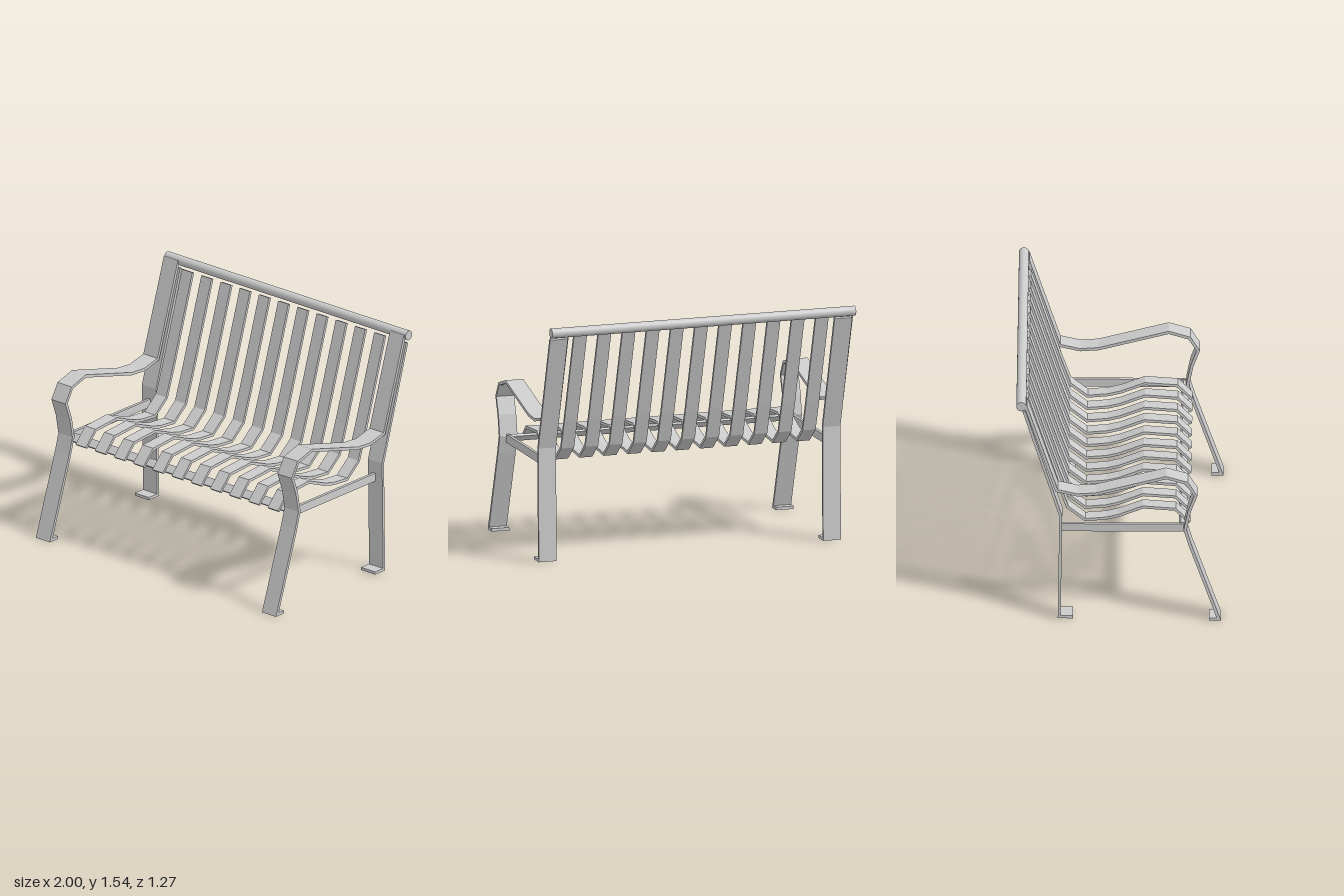
import * as THREE from 'three';

const material = new THREE.MeshStandardMaterial({ color: 0xcccccc, side: THREE.DoubleSide });

// Bent flat bar: mitred strip along a [z, y] path, extruded across x
function strapGeometry(path, thickness, width) {
  const pts = path.map(([z, y]) => new THREE.Vector2(z, y));
  const upper = [], lower = [];
  pts.forEach((p, i) => {
    const a = pts[Math.max(i - 1, 0)], b = pts[Math.min(i + 1, pts.length - 1)];
    let d1 = p.clone().sub(a), d2 = b.clone().sub(p);
    if (i === 0) d1 = d2.clone();
    if (i === pts.length - 1) d2 = d1.clone();
    d1.normalize();
    d2.normalize();
    const n1 = new THREE.Vector2(-d1.y, d1.x), n2 = new THREE.Vector2(-d2.y, d2.x);
    const miter = n1.clone().add(n2).normalize();
    miter.multiplyScalar(thickness / 2 / miter.dot(n1));
    upper.push(p.clone().add(miter));
    lower.unshift(p.clone().sub(miter));
  });
  const geometry = new THREE.ExtrudeGeometry(new THREE.Shape([...upper, ...lower]), {
    depth: width, bevelEnabled: false,
  });
  return geometry.translate(0, 0, -width / 2).rotateY(-Math.PI / 2);
}

export function createModel() {
  const bench = new THREE.Group();
  bench.name = 'bench';
  const add = (name, geometry, x = 0, y = 0, z = 0) => {
    const mesh = new THREE.Mesh(geometry, material);
    mesh.name = name;
    mesh.position.set(x, y, z);
    bench.add(mesh);
    return mesh;
  };

  // Front foot, front leg, armrest and back upright in one bent bar
  const armStrap = strapGeometry([
    [0.56, 0.011], [0.622, 0.011], [0.445, 0.53], [0.413, 0.64], [0.438, 0.77],
    [0.478, 0.883], [0.424, 0.973], [0.295, 1.012], [-0.14, 0.895], [-0.255, 0.887],
    [-0.386, 0.918], [-0.58, 1.52],
  ], 0.019, 0.116);
  // Rear foot, rear leg and back support
  const rearStrap = strapGeometry([
    [-0.285, 0.016], [-0.37, 0.016], [-0.36, 0.73], [-0.588, 1.47],
  ], 0.018, 0.116);
  for (const side of [-1, 1]) {
    const label = side > 0 ? 'left' : 'right';
    add(label + 'ArmAndFrontLeg', armStrap, side * 0.934 - 0.008);
    add(label + 'RearLeg', rearStrap, side * 0.934 + 0.004);
    add(label + 'SeatRail', new THREE.BoxGeometry(0.02, 0.053, 0.77), side * 0.93, 0.625, 0.03);
  }

  // Seat and back slats
  const slat = strapGeometry([
    [0.438, 0.607], [0.35, 0.7], [0.15, 0.715], [0, 0.655], [-0.08, 0.635],
    [-0.21, 0.624], [-0.32, 0.714], [-0.386, 0.905], [-0.568, 1.478],
  ], 0.018, 0.085);
  for (let i = 0; i < 11; i++) add('slat' + (i + 1), slat, -0.797 + i * 0.1587);

  // Tilted bar under the front of the slats
  add('frontCrossbar', strapGeometry([[0.417, 0.61], [0.379, 0.648]], 0.018, 1.86));

  // Round rail along the top of the back
  const tube = new THREE.CylinderGeometry(0.031, 0.031, 1.995, 32).rotateZ(Math.PI / 2);
  add('topRail', tube, -0.003, 1.512, -0.605);

  return bench;
}
